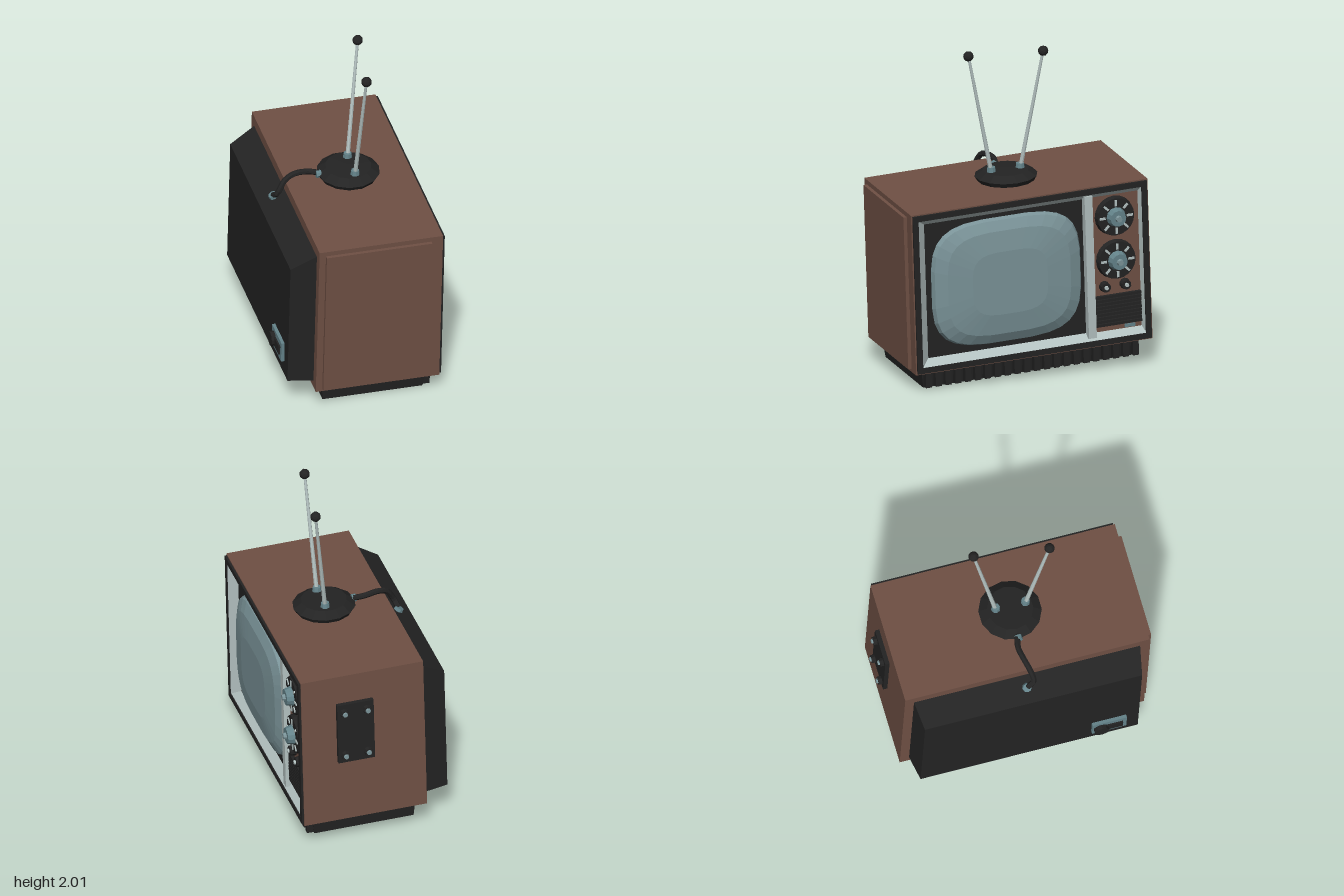
import * as THREE from 'three';

const mat = (name, color) => {
  const m = new THREE.MeshStandardMaterial({ color });
  m.name = name;
  return m;
};

export function createModel() {
  const brown = mat('brown wood', 0x6f5044);
  const black = mat('black plastic', 0x232323);
  const silver = mat('light silver', 0xb3c1c0);
  const glass = mat('screen glass', 0x7a9398);
  const steel = mat('blue steel', 0x64838a);

  const tv = new THREE.Group();
  tv.name = 'television';

  // Adds a faceted mesh
  const add = (name, geo, material, x = 0, y = 0, z = 0, parent = tv) => {
    const g = geo.index ? geo.toNonIndexed() : geo;
    g.computeVertexNormals();
    const m = new THREE.Mesh(g, material);
    m.name = name;
    m.position.set(x, y, z);
    parent.add(m);
    return m;
  };
  // Box given by its limits
  const box = (name, material, x0, x1, y0, y1, z0, z1, parent = tv) =>
    add(name, new THREE.BoxGeometry(x1 - x0, y1 - y0, z1 - z0), material,
      (x0 + x1) / 2, (y0 + y1) / 2, (z0 + z1) / 2, parent);
  // Cylinder along z, r0 at the back and r1 at the front
  const disc = (r0, r1, h, n) => new THREE.CylinderGeometry(r1, r0, h, n).rotateX(Math.PI / 2);
  const rect = (x0, x1, y0, y1, z) => [[x0, y0, z], [x1, y0, z], [x1, y1, z], [x0, y1, z]];
  // Skin over counter-clockwise loops, optionally closed at the last loop
  const loft = (loops, cap) => {
    const pos = [], n = loops[0].length;
    for (let k = 0; k < loops.length - 1; k++)
      for (let i = 0; i < n; i++) {
        const j = (i + 1) % n, a = loops[k], b = loops[k + 1];
        pos.push(...a[i], ...a[j], ...b[j], ...a[i], ...b[j], ...b[i]);
      }
    if (cap) {
      const e = loops[loops.length - 1];
      for (let i = 1; i < n - 1; i++) pos.push(...e[0], ...e[i], ...e[i + 1]);
    }
    const g = new THREE.BufferGeometry();
    g.setAttribute('position', new THREE.Float32BufferAttribute(pos, 3));
    return g;
  };
  // Rectangular frame with an opening, extruded along z
  const frame = (hw, y0, y1, t, depth) => {
    const s = new THREE.Shape(rect(-hw, hw, y0, y1, 0).map(p => new THREE.Vector2(p[0], p[1])));
    s.holes.push(new THREE.Path(rect(-hw + t, hw - t, y0 + t, y1 - t, 0).map(p => new THREE.Vector2(p[0], p[1]))));
    return new THREE.ExtrudeGeometry(s, { depth, bevelEnabled: false });
  };

  // Cabinet
  box('cabinet', brown, -0.765, 0.765, 0, 1.02, -0.39, 0.32);
  add('cabinetFrontEdge', frame(0.765, 0, 1.02, 0.03, 0.062), brown, 0, 0, 0.32);
  add('frontTrim', frame(0.757, 0.008, 1.012, 0.035, 0.075), black, 0, 0, 0.32);
  box('sidePanel', brown, -0.787, -0.76, 0.02, 0.99, -0.35, 0.31);

  // Sloped bezel, divider and recessed panels
  add('bezel', loft([rect(-0.724, 0.724, 0.04, 0.98, 0.392), rect(-0.665, 0.71, 0.085, 0.935, 0.338)]), silver);
  box('screenSurround', black, -0.7, 0.36, 0.06, 0.96, 0.318, 0.34);
  box('controlPanel', brown, 0.4, 0.72, 0.06, 0.96, 0.318, 0.345);
  box('divider', silver, 0.354, 0.405, 0.06, 0.965, 0.32, 0.388);

  // Bulging picture tube
  const oval = (s, z) => Array.from({ length: 28 }, (_, i) => {
    const a = (i + 0.5) / 28 * Math.PI * 2, c = Math.cos(a), d = Math.sin(a);
    return [-0.15 + 0.485 * s * Math.sign(c) * Math.abs(c) ** 0.55,
      0.513 + 0.4 * s * Math.sign(d) * Math.abs(d) ** 0.55, z];
  });
  add('screen', loft([oval(1, 0.338), oval(0.97, 0.368), oval(0.82, 0.398), oval(0.5, 0.415)], true), glass);

  // Tuning dials with silver marks
  for (const y of [0.807, 0.53]) {
    const dial = new THREE.Group();
    dial.name = 'tuningDial';
    dial.position.set(0.556, y, 0.345);
    tv.add(dial);
    add('dialDisc', disc(0.125, 0.118, 0.035, 20), black, 0, 0, 0.0175, dial);
    add('dialCap', disc(0.062, 0.05, 0.045, 12), steel, 0, 0, 0.055, dial);
    add('dialHub', disc(0.022, 0.018, 0.02, 8), glass, 0, 0, 0.086, dial);
    for (let i = 0; i < 8; i++) {
      const a = i * Math.PI / 4;
      const mark = add('dialMark', new THREE.BoxGeometry(0.038, 0.014, 0.008), silver,
        0.088 * Math.cos(a), 0.088 * Math.sin(a), 0.037, dial);
      mark.rotation.z = a;
    }
  }
  // Small knobs
  for (const x of [0.478, 0.61]) {
    add('smallKnob', disc(0.034, 0.03, 0.04, 10), black, x, 0.365, 0.363);
    add('smallKnobCap', disc(0.014, 0.012, 0.012, 8), silver, x, 0.365, 0.388);
  }
  // Speaker slats and plain plate
  for (let i = 0; i < 9; i++) {
    const y = 0.115 + i * 0.022;
    box('speakerSlat', black, 0.408, 0.708, y, y + 0.017, 0.34, 0.368);
  }
  box('smallPlate', steel, 0.6, 0.67, 0.085, 0.105, 0.343, 0.352);

  // Tapered plinth with ribbed front
  add('plinth', loft([rect(-0.69, 0.69, -0.3, 0.325, -0.115), rect(-0.705, 0.705, -0.315, 0.335, 0)], true)
    .rotateX(-Math.PI / 2).scale(1, 1, 1), black);
  box('plinthBottom', black, -0.69, 0.69, -0.115, -0.1, -0.325, 0.3);
  for (let i = 0; i < 22; i++) {
    const x = -0.67 + i * 1.34 / 21;
    box('plinthRib', black, x - 0.019, x + 0.019, -0.105, 0, 0.28, 0.345);
  }

  // Back housing with sloped top and sides
  add('backHousing', loft([rect(-0.71, 0.71, 0.045, 0.96, 0.38), rect(-0.68, 0.68, 0.05, 0.865, 0.545)], true)
    .rotateY(Math.PI), black);

  // Power socket
  box('socketPlate', steel, -0.6, -0.385, 0.14, 0.27, -0.565, -0.54);
  box('socketSlot', black, -0.575, -0.44, 0.175, 0.235, -0.575, -0.55);
  add('socketPlug', disc(0.046, 0.046, 0.04, 10), black, -0.44, 0.205, -0.572);

  // Side plate with four bolts
  box('sidePlate', black, 0.76, 0.792, 0.42, 0.83, -0.065, 0.165);
  for (const y of [0.475, 0.775])
    for (const z of [-0.022, 0.122]) {
      add('bolt', disc(0.028, 0.026, 0.025, 8).rotateY(Math.PI / 2), black, 0.803, y, z);
      add('boltTip', disc(0.017, 0.014, 0.012, 8).rotateY(Math.PI / 2), glass, 0.82, y, z);
    }

  // Aerial foot
  const profile = [[0, 0], [0.175, 0], [0.192, 0.03], [0.14, 0.065], [0, 0.07]].map(p => new THREE.Vector2(...p));
  add('aerialFoot', new THREE.LatheGeometry(profile, 14), black, 0, 1.018, 0);

  // Aerial rods with sockets and ball tips
  const up = new THREE.Vector3(0, 1, 0);
  for (const [a, b] of [[[0.086, 1.075, 0.018], [0.226, 1.832, 0.103]], [[-0.099, 1.075, 0.014], [-0.229, 1.845, 0.032]]]) {
    const p = new THREE.Vector3(...a), q = new THREE.Vector3(...b), d = q.clone().sub(p);
    const mid = p.clone().add(q).multiplyScalar(0.5);
    const rod = add('aerialRod', new THREE.CylinderGeometry(0.009, 0.014, d.length(), 8), silver, ...mid.toArray());
    rod.quaternion.setFromUnitVectors(up, d.normalize());
    add('rodSocket', new THREE.CylinderGeometry(0.025, 0.03, 0.035, 8), steel, a[0], 1.095, a[2]);
    add('aerialTip', new THREE.IcosahedronGeometry(0.032, 1), black, ...b);
  }

  // Aerial cable with end sockets
  const cable = new THREE.CatmullRomCurve3([[0, 1.05, -0.16], [0.02, 1.065, -0.25], [0.006, 1.07, -0.34],
    [-0.012, 1.045, -0.4], [-0.024, 0.965, -0.448], [0.015, 0.93, -0.462]].map(p => new THREE.Vector3(...p)));
  add('cable', new THREE.TubeGeometry(cable, 16, 0.018, 7), black);
  add('cableSocketFront', disc(0.024, 0.024, 0.03, 8), steel, 0, 1.05, -0.187);
  add('cableSocketBack', new THREE.CylinderGeometry(0.027, 0.03, 0.025, 8).rotateX(-0.55), steel, 0.02, 0.922, -0.462);

  // Turned and slightly leaning pose
  tv.rotation.set(0.013, 2.45, 0.038, 'YXZ');
  tv.position.set(-0.006, 0.145, -0.037);
  const model = new THREE.Group();
  model.name = 'televisionModel';
  model.add(tv);
  return model;
}
